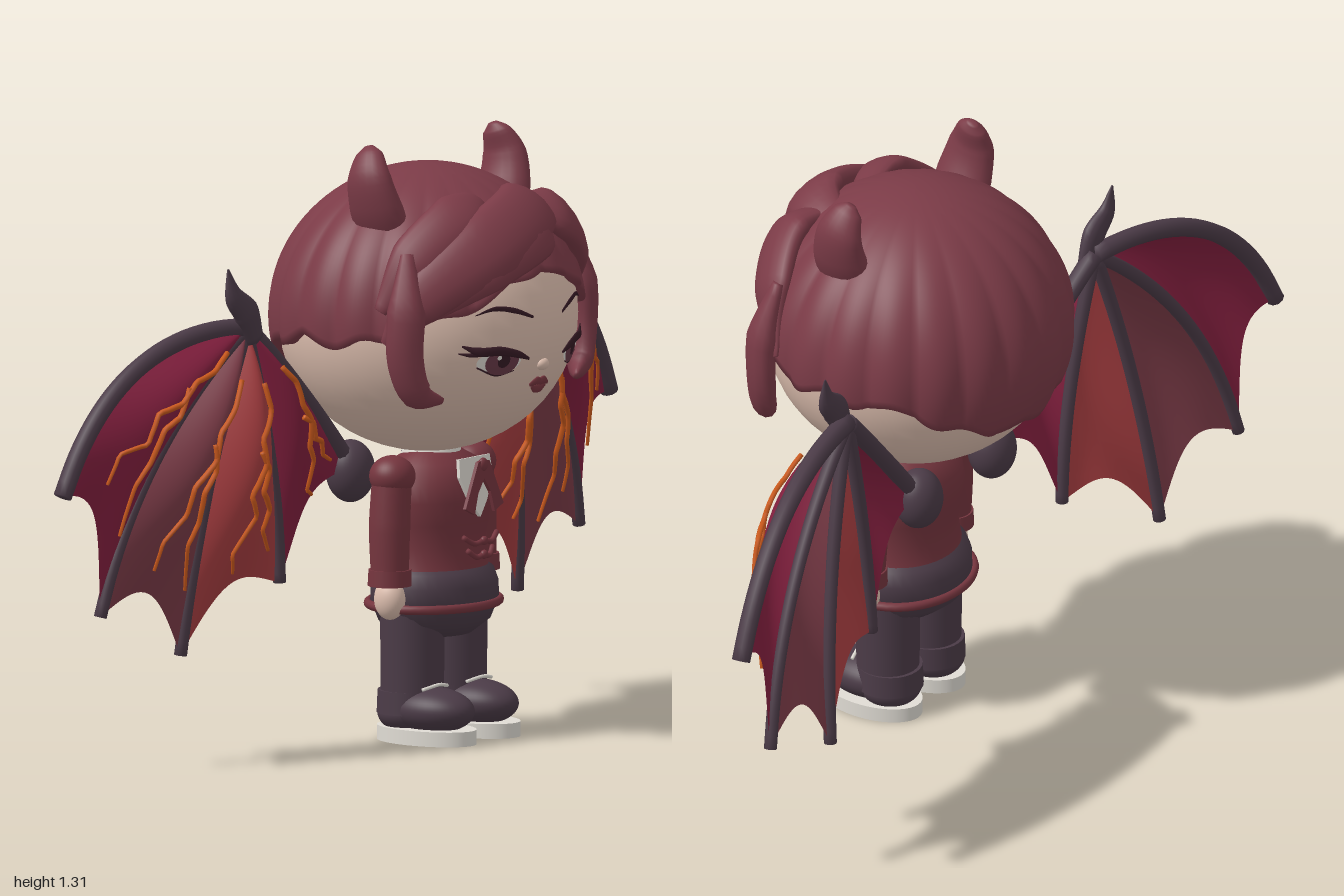
import * as THREE from 'three';

const V = (x, y, z) => new THREE.Vector3(x, y, z);
const lerp = THREE.MathUtils.lerp;
const mat = (name, color, side = THREE.FrontSide) => {
  const m = new THREE.MeshStandardMaterial({ color, side });
  m.name = name;
  return m;
};
const M = {
  hair: mat('burgundy', 0x7b3b47, THREE.DoubleSide),
  jacket: mat('jacketRed', 0x75353e),
  plum: mat('darkPlum', 0x4b3b47),
  skin: mat('skin', 0xdfc0b0),
  cream: mat('cream', 0xe0dcd4),
  crimson: mat('crimson', 0x821f3e, THREE.DoubleSide),
  ember: mat('emberRed', 0xa63d40, THREE.DoubleSide),
  orange: mat('orange', 0xcc5a1c),
  dark: mat('darkMaroon', 0x351a24),
  iris: mat('iris', 0x693a48),
};
const HEAD = V(0, 0.92, 0);

// Interpolates a value from a list spread evenly over 0..1
function along(list, t) {
  const f = t * (list.length - 1), i = Math.min(Math.floor(f), list.length - 2);
  return lerp(list[i], list[i + 1], f - i);
}

// Surface from a rule fn(u, v) -> Vector3; wrap closes it in v
function grid(nu, nv, fn, wrap = false) {
  const pos = [], idx = [], w = wrap ? nv : nv + 1;
  for (let i = 0; i <= nu; i++)
    for (let j = 0; j < w; j++) pos.push(...fn(i / nu, j / nv, i).toArray());
  for (let i = 0; i < nu; i++)
    for (let j = 0; j < nv; j++) {
      const k = (j + 1) % w, a = i * w + j, b = i * w + k, c = a + w, d = b + w;
      idx.push(a, b, c, b, d, c);
    }
  const g = new THREE.BufferGeometry();
  g.setAttribute('position', new THREE.Float32BufferAttribute(pos, 3));
  g.setIndex(idx);
  g.computeVertexNormals();
  return g;
}

// Tapered, closed tube along a curve; flat squeezes it along ref
function limb(pts, radii, { flat = 1, ref = () => V(0, 0, 1), seg = 20, sides = 12 } = {}) {
  const curve = new THREE.CatmullRomCurve3(pts), n = seg + 2;
  return grid(n, sides, (u, v, i) => {
    const t = THREE.MathUtils.clamp((i - 1) / seg, 0, 1);
    const r = i === 0 || i === n ? 0 : along(radii, t);
    const p = curve.getPoint(t), T = curve.getTangent(t), N = ref(p).clone();
    N.addScaledVector(T, -T.dot(N)).normalize();
    const B = T.clone().cross(N), a = v * Math.PI * 2;
    return p.addScaledVector(N, Math.cos(a) * r * flat).addScaledVector(B, Math.sin(a) * r);
  }, true);
}

export function createModel() {
  const root = new THREE.Group();
  const add = (name, geo, m, parent = root) => {
    const mesh = new THREE.Mesh(geo, m);
    mesh.name = name;
    parent.add(mesh);
    return mesh;
  };
  const ball = (name, m, p, r, parent) =>
    add(name, new THREE.SphereGeometry(1, 40, 28).scale(...r).translate(...p), m, parent);
  const lathe = (name, m, profile, z, sz) =>
    add(name, new THREE.LatheGeometry(profile.map(([r, y]) => new THREE.Vector2(r, y)), 40).scale(1, 1, sz).translate(0, 0, z), m);
  // Thin chest plate, leaning back about y = 0.5
  const plate = (name, m, pts, z, lean) => {
    const shape = new THREE.Shape(pts.map(([x, y]) => new THREE.Vector2(x, y - 0.5)));
    add(name, new THREE.ExtrudeGeometry(shape, { depth: 0.008, bevelEnabled: false }).rotateX(-lean).translate(0, 0.5, z), m);
  };

  // Head and neck
  ball('head', M.skin, HEAD.toArray(), [0.325, 0.3, 0.325]);
  add('neck', new THREE.CylinderGeometry(0.055, 0.065, 0.07, 24).translate(0, 0.63, 0.01), M.skin);
  add('shirtCollar', new THREE.CylinderGeometry(0.062, 0.07, 0.03, 24).translate(0, 0.615, 0.012), M.cream);

  // Hair cap: ridged shell with a hem that changes around the head
  const hem = [1.035, 1.015, 0.965, 0.93, 0.89, 0.885, 0.89, 0.87, 0.81, 0.785, 0.77];
  const cap = grid(32, 200, (u, v) => {
    const a = -v * Math.PI * 2, round = Math.abs(Math.atan2(Math.sin(a), Math.cos(a))) / Math.PI;
    const y = along(hem, round) + 0.012 * Math.sin(a * 13) * Math.min(1, round * 3);
    const end = Math.acos((y - HEAD.y) / 0.325);
    const th = end * Math.min(1, u / 0.94);
    let k = 0.985 + 0.035 * Math.abs(Math.sin(a * 10)) * Math.sin(th) ** 1.5;
    if (u > 0.95) k = 0.93;
    const h = Math.sin(th) * k;
    return V(0.342 * h * Math.sin(a), HEAD.y + 0.325 * Math.cos(th) * (u > 0.95 ? 0.95 : 1), 0.335 * h * Math.cos(a));
  }, true);
  add('hairCap', cap, M.hair);

  // Swept fringe locks, given as [azimuth, elevation] on the head, rising out of the cap
  const onHair = ([az, el], i) => {
    const a = az * Math.PI / 180, e = el * Math.PI / 180, c = Math.cos(e), off = i ? 0.014 : -0.025;
    return V((0.338 + off) * c * Math.sin(a), HEAD.y + (0.325 + off) * Math.sin(e), (0.335 + off) * c * Math.cos(a));
  };
  const outward = p => p.clone().sub(HEAD);
  [
    [[[40, 58], [10, 46], [-26, 32], [-56, 12], [-68, -4]], [0.02, 0.075, 0.08, 0.055, 0.012]],
    [[[30, 48], [0, 36], [-30, 22], [-54, 5]], [0.02, 0.065, 0.048, 0.01]],
    [[[12, 54], [32, 40], [52, 24], [66, 2]], [0.02, 0.075, 0.065, 0.012]],
    [[[-5, 62], [-36, 46], [-58, 28], [-70, 8]], [0.02, 0.06, 0.055, 0.015]],
  ].forEach(([p, r]) => add('fringeLock', limb(p.map(onHair), r, { flat: 0.45, ref: outward, seg: 28, sides: 16 }), M.hair));

  // Face plates follow the front of the head
  const face = (x, y, off) => V(x, y, 0.325 * Math.sqrt(Math.max(0, 1 - (x / 0.325) ** 2 - ((y - HEAD.y) / 0.3) ** 2)) + off);
  const disc = (name, m, s, cx, cy, rx, ry, off, lid = 9) => add(name, grid(5, 32, (u, v) => {
    const a = -s * v * Math.PI * 2;
    return face(s * (cx + rx * u * Math.cos(a)), cy + Math.min(ry * u * Math.sin(a), lid + 0.25 * rx * u * Math.cos(a)), off);
  }, true), m);
  const stroke = (name, m, s, pts, r, off) =>
    add(name, limb(pts.map(([x, y]) => face(s * x, y, off)), r, { flat: 0.4, sides: 8 }), m);
  ball('nose', M.skin, [0, 0.833, 0.308], [0.018, 0.014, 0.014]);
  stroke('upperLip', M.jacket, 1, [[-0.032, 0.789], [-0.012, 0.797], [0, 0.795], [0.012, 0.797], [0.032, 0.789]], [0.004, 0.009, 0.008, 0.009, 0.004], 0.008);
  stroke('lowerLip', M.jacket, 1, [[-0.025, 0.786], [-0.01, 0.779], [0.01, 0.779], [0.025, 0.786]], [0.004, 0.009, 0.009, 0.004], 0.008);

  for (const s of [1, -1]) {
    const P = (x, y, z) => V(s * x, y, z);

    // Eyes and brows, the upper lid slanting down towards the nose
    disc('eyeWhite', M.cream, s, 0.127, 0.85, 0.05, 0.027, 0.003, 0.016);
    disc('iris', M.iris, s, 0.123, 0.85, 0.038, 0.03, 0.005, 0.018);
    disc('pupil', M.dark, s, 0.123, 0.852, 0.014, 0.015, 0.007);
    disc('eyeGlint', M.cream, s, 0.136, 0.86, 0.005, 0.005, 0.009);
    stroke('upperLash', M.dark, s, [[0.06, 0.852], [0.09, 0.864], [0.135, 0.875], [0.18, 0.876], [0.212, 0.89]], [0.003, 0.008, 0.01, 0.01, 0.002], 0.008);
    stroke('lashFlick', M.dark, s, [[0.175, 0.872], [0.195, 0.87], [0.218, 0.874]], [0.006, 0.005, 0.001], 0.01);
    stroke('lowerLash', M.dark, s, [[0.09, 0.828], [0.13, 0.821], [0.175, 0.84]], [0.001, 0.003, 0.002], 0.004);
    stroke('eyebrow', M.dark, s, [[0.052, 0.942], [0.1, 0.96], [0.145, 0.967], [0.185, 0.955]], [0.003, 0.006, 0.005, 0.001], 0.004);

    // Side lock and horn
    add('sideLock', limb([P(0.285, 1.09, 0.16), P(0.316, 0.97, 0.18), P(0.318, 0.86, 0.18), P(0.292, 0.79, 0.192), P(0.24, 0.772, 0.22)],
      [0.015, 0.042, 0.04, 0.036, 0.008], { flat: 0.72, ref: outward }), M.hair);
    add('horn', limb([P(0.19, 1.1, 0.035), P(0.228, 1.17, 0.035), P(0.243, 1.24, 0.026), P(0.228, 1.288, 0.015), P(0.222, 1.305, 0.01)],
      [0.07, 0.066, 0.054, 0.034, 0.012], { flat: 0.62, ref: () => V(1, 0, 0), sides: 20 }), M.hair);

    // Arm
    ball('shoulder', M.jacket, [s * 0.145, 0.58, 0.015], [0.05, 0.045, 0.05]);
    add('sleeve', limb([P(0.145, 0.59, 0.015), P(0.155, 0.47, 0.015), P(0.158, 0.36, 0.018)], [0.043, 0.045, 0.041], { sides: 24 }), M.jacket);
    add('cuff', new THREE.CylinderGeometry(0.046, 0.048, 0.035, 28).translate(s * 0.158, 0.362, 0.018), M.jacket);
    ball('hand', M.skin, [s * 0.161, 0.315, 0.02], [0.03, 0.045, 0.036]);

    // Leg and shoe
    add('trouserLeg', new THREE.CylinderGeometry(0.07, 0.068, 0.2, 28).translate(s * 0.077, 0.2, 0.018), M.plum);
    add('ankleCuff', new THREE.CylinderGeometry(0.071, 0.073, 0.05, 28).translate(s * 0.077, 0.085, 0.013), M.plum);
    ball('shoe', M.plum, [s * 0.079, 0.07, 0.07], [0.07, 0.05, 0.105]);
    ball('heel', M.plum, [s * 0.079, 0.06, 0.01], [0.068, 0.045, 0.068]);
    add('sole', new THREE.CylinderGeometry(1, 1, 0.032, 40).scale(0.075, 1, 0.122).translate(s * 0.079, 0.016, 0.058), M.cream);
    add('shoeLace', limb([P(0.035, 0.118, 0.08), P(0.079, 0.125, 0.09), P(0.123, 0.118, 0.08)], [0.004, 0.004], { sides: 8 }), M.cream);

    // Ribbon tail, spreading down from the knot
    plate('ribbonTail', M.jacket, [[0, 0.61], [0.02, 0.607], [0.068, 0.51], [0.036, 0.495], [0.022, 0.54], [0, 0.57]].map(([x, y]) => [s * x, y]), 0.147, 0.02);

    // Wing: fingers fan out from the wrist
    const wing = new THREE.Group();
    wing.name = s > 0 ? 'leftWing' : 'rightWing';
    root.add(wing);
    const wrist = P(0.455, 0.925, -0.145);
    const fingers = [
      [[0.83, 0.955, -0.22], [0.982, 0.61, -0.245], 0.02],
      [[0.78, 0.69, -0.2], [0.86, 0.335, -0.235], 0.014],
      [[0.58, 0.58, -0.175], [0.605, 0.225, -0.21], 0.014],
      [[0.36, 0.61, -0.13], [0.35, 0.36, -0.135], 0.014],
      [[0.3, 0.78, -0.11], [0.14, 0.59, -0.1], 0.019],
    ].map(([c, t, r]) => ({ curve: new THREE.QuadraticBezierCurve3(wrist, P(...c), P(...t)), r }));
    fingers.forEach(({ curve, r }) =>
      add('wingBone', limb(curve.getPoints(8), [r * 1.1, r, r], { seg: 24, sides: 10 }), M.plum, wing));

    // Membranes billow forward between the fingers, taut at the trailing edge
    const panel = (k, a, t, off = 0) => {
      const tt = t * (1 - 0.13 * Math.sin(Math.PI * a));
      const p = fingers[k].curve.getPoint(tt).lerp(fingers[k + 1].curve.getPoint(tt), a);
      p.z += 0.068 * Math.sin(Math.PI * a) * Math.sin(Math.PI * t ** 0.9) + off;
      return p;
    };
    [M.crimson, M.hair, M.ember, M.crimson].forEach((m, k) => {
      add('membrane', grid(24, 20, (t, a) => panel(k, a, t)), m, wing);
      // Glowing veins wander down the front of each panel
      let seed = 1100 + k * 733;
      const rnd = () => (seed = (seed * 16807) % 2147483647) / 2147483647;
      rnd();
      const vein = (a0, a1, t0, t1, n) => {
        const knots = [];
        for (let i = 0; i <= n; i++) knots.push(lerp(a0, a1, i / n) + (i % 2 ? 1 : -1) * (0.02 + 0.06 * rnd()));
        const pts = [];
        for (let i = 0; i <= n * 3; i++) pts.push(panel(k, along(knots, i / (n * 3)), lerp(t0, t1, i / (n * 3)), 0.013));
        add('wingVein', limb(pts, [0.006, 0.0065, 0.004], { seg: 40, sides: 6 }), M.orange, wing);
      };
      vein(0.5, 0.35, 0.2, 0.92, 7);
      vein(0.42, 0.74, 0.45, 0.88, 5);
    });

    // Thumb claw and the root joint on the back
    add('wingClaw', limb([P(0.445, 0.9, -0.13), P(0.475, 0.96, -0.13), P(0.513, 1.0, -0.135), P(0.528, 1.06, -0.14)],
      [0.025, 0.035, 0.026, 0.003], { flat: 0.6 }), M.plum, wing);
    ball('wingRoot', M.plum, [s * 0.135, 0.58, -0.105], [0.056, 0.068, 0.052], wing);
  }

  // Jacket, hips and belt
  lathe('jacketBody', M.jacket, [[0.142, 0.33], [0.13, 0.37], [0.121, 0.42], [0.13, 0.47], [0.137, 0.52], [0.131, 0.56], [0.108, 0.6], [0.06, 0.625]], 0.02, 0.83);
  lathe('hips', M.plum, [[0, 0.22], [0.09, 0.225], [0.135, 0.255], [0.155, 0.3], [0.154, 0.335], [0.142, 0.365], [0.11, 0.385]], 0.02, 0.83);
  add('belt', new THREE.TorusGeometry(0.16, 0.01, 10, 48).rotateX(Math.PI / 2).scale(1, 1, 0.82).translate(0, 0.293, 0.018), M.jacket);

  // Shirt front, ribbon knot and frog fastenings
  plate('shirtFront', M.cream, [[-0.055, 0.615], [-0.058, 0.575], [-0.03, 0.52], [0, 0.485], [0.03, 0.52], [0.058, 0.575], [0.055, 0.615]], 0.134, 0.13);
  ball('ribbonKnot', M.jacket, [0, 0.6, 0.15], [0.013, 0.015, 0.009]);
  for (const [y, w] of [[0.435, 0.06], [0.405, 0.045]]) {
    add('frogFastening', limb([V(-w, y + 0.012, 0.142), V(-w / 2, y - 0.004, 0.15), V(0, y, 0.152), V(w / 2, y - 0.004, 0.15), V(w, y + 0.012, 0.142)], [0.006, 0.006], { sides: 8 }), M.jacket);
    ball('button', M.jacket, [0, y, 0.153], [0.01, 0.01, 0.008]);
  }
  return root;
}
